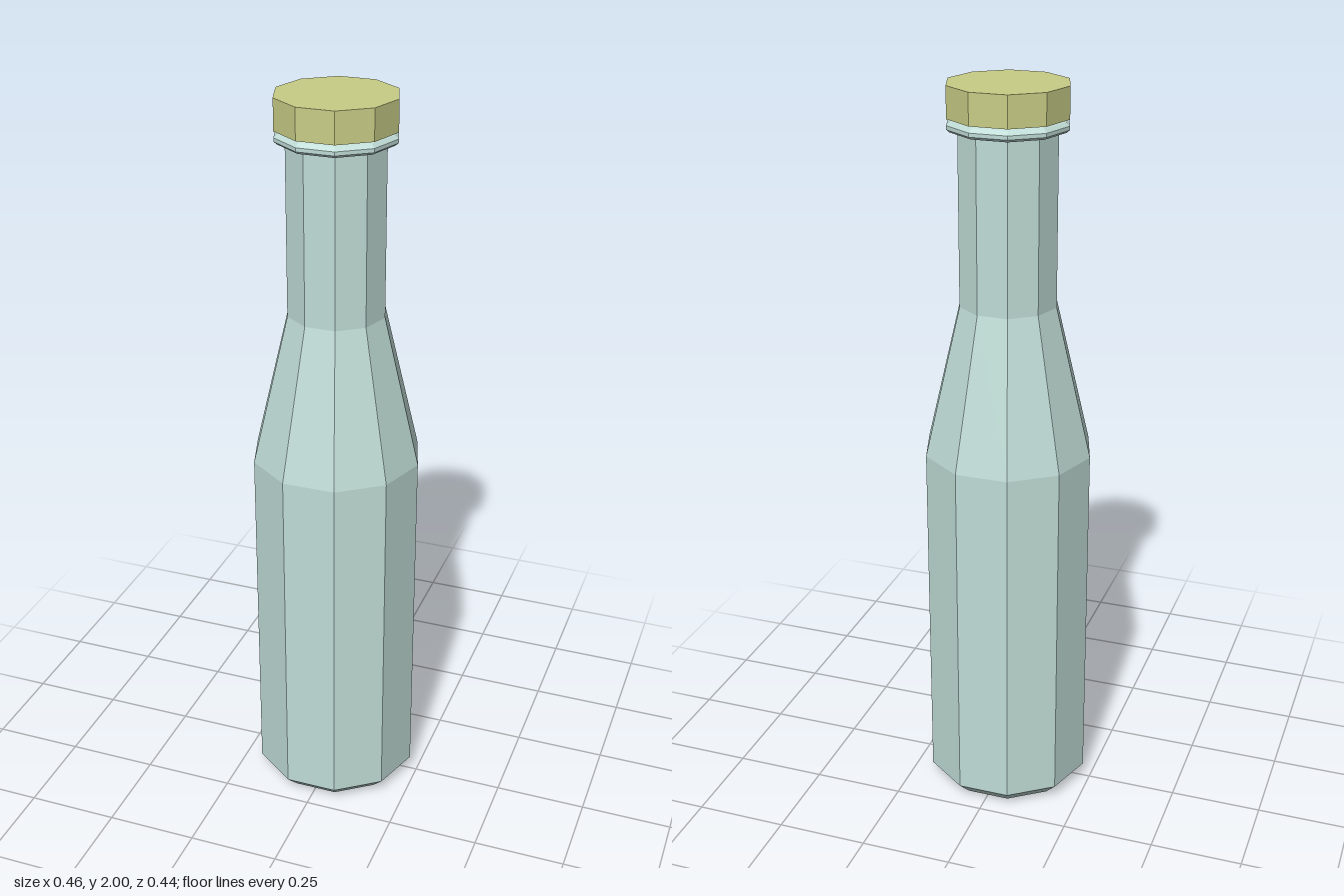
import * as THREE from 'three';

const SIDES = 10;

// Ten-sided turned shape with a corner on the x axis; profile runs bottom to top
function turned(name, profile, material) {
  const points = profile.map(([r, y]) => new THREE.Vector2(r, y));
  const mesh = new THREE.Mesh(new THREE.LatheGeometry(points, SIDES, Math.PI / 2), material);
  mesh.name = name;
  return mesh;
}

export function createModel() {
  const glass = new THREE.MeshStandardMaterial({ color: 0xc0dcd6 });
  glass.name = 'pale glass';
  glass.flatShading = true;
  const yellow = new THREE.MeshStandardMaterial({ color: 0xc8cd86 });
  yellow.name = 'cap yellow';
  yellow.flatShading = true;

  const model = new THREE.Group();
  model.name = 'bottle';

  // Base, straight body, sloping shoulder and neck
  model.add(turned('bottleBody', [
    [0, 0], [0.19, 0], [0.2, 0.01], [0.23, 0.04],
    [0.23, 1.02], [0.132, 1.43], [0.132, 1.885],
  ], glass));

  // Rounded ring below the cap
  model.add(turned('neckRing', [
    [0.13, 1.88], [0.152, 1.885], [0.16, 1.892], [0.16, 1.902],
    [0.15, 1.911], [0.14, 1.916], [0.14, 1.925],
  ], glass));

  // Closed cap
  model.add(turned('cap', [[0, 1.918], [0.16, 1.918], [0.16, 2], [0, 2]], yellow));

  return model;
}
